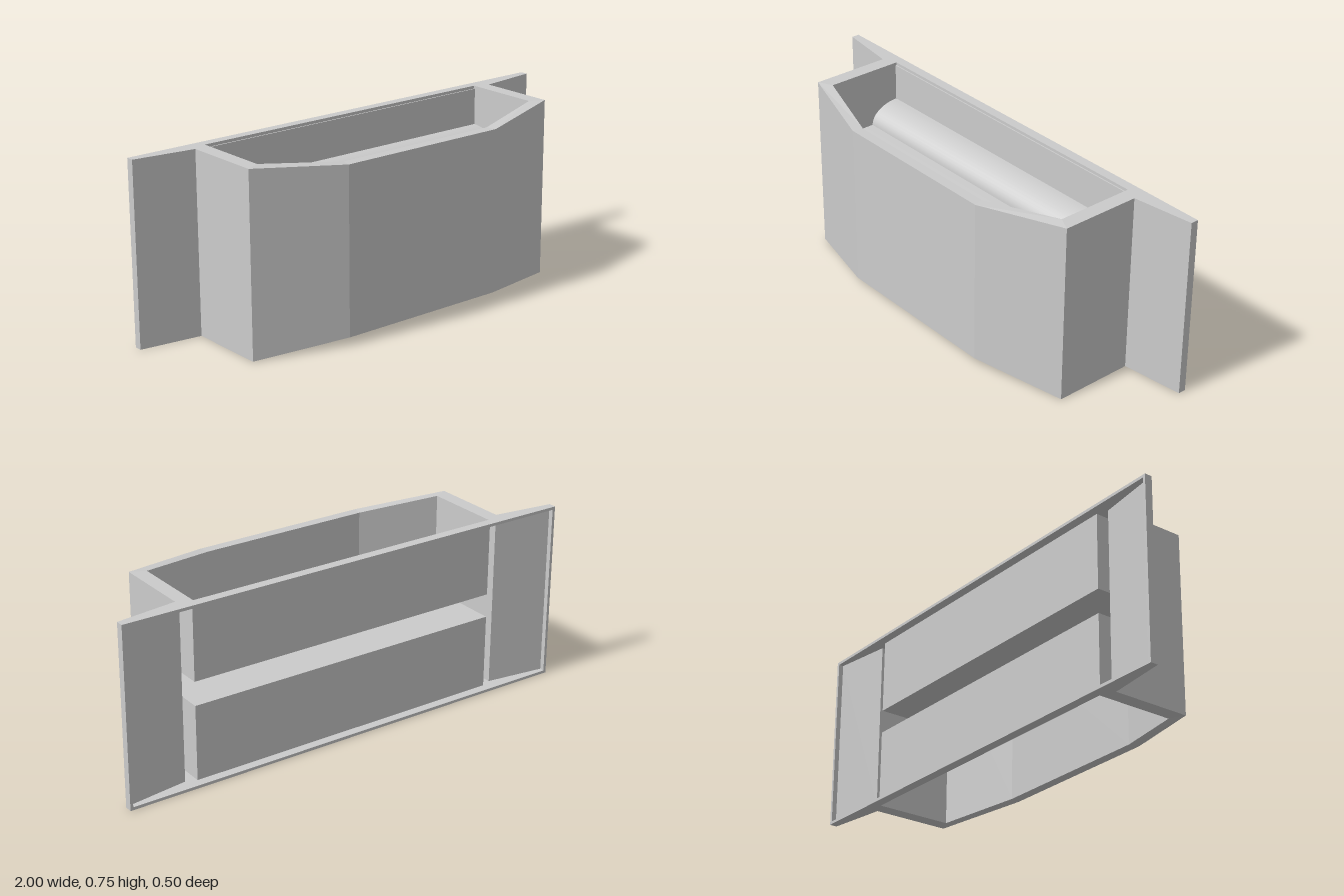
import * as THREE from 'three';
import { toCreasedNormals } from 'three/addons/utils/BufferGeometryUtils.js';

const H = 0.745, RIM = 0.012, INNER = 0.685;
const material = new THREE.MeshStandardMaterial({ color: 0xcccccc });

// Complete a right-hand outline [x, z] with its mirrored half
const flipX = pts => pts.map(([x, z]) => [-x, z]);
const mirror = half => [...half, ...flipX(half).reverse()];

// Extrude a plan outline upward from y0 to y1
function planGeometry(outline, y0, y1) {
  const shape = new THREE.Shape(outline.map(([x, z]) => new THREE.Vector2(x, -z)));
  const geo = new THREE.ExtrudeGeometry(shape, { depth: y1 - y0, bevelEnabled: false });
  return geo.rotateX(-Math.PI / 2).translate(0, y0, 0);
}

// Lower the middle facet of the nose, keeping its rim level across the wall
function taperNose(geo) {
  const p = geo.attributes.position;
  for (let i = 0; i < p.count; i++) {
    if (Math.abs(p.getX(i)) < 0.5) p.setY(i, H / 2 + (p.getY(i) - H / 2) * 0.915);
  }
  geo.computeVertexNormals();
  return geo;
}

// Cross-section: thin back plate, two rounded steps, channel underside
function stepProfile(flip) {
  const pts = [[0.115, H / 2], [0.09, H / 2], [0.09, 0.422], [-0.215, 0.422],
    [-0.215, H - RIM], [-0.207, H - RIM]];
  const arc = (z0, z1, top, bottom) => {
    for (let i = 0; i <= 12; i++) {
      const a = (i / 12) * Math.PI / 2;
      pts.push([z0 + (z1 - z0) * Math.sin(a), bottom + (top - bottom) * Math.cos(a)]);
    }
  };
  arc(-0.207, -0.08, 0.58, 0.4975);
  arc(-0.01, 0.115, 0.4975, 0.4);
  return pts.map(([z, y]) => new THREE.Vector2(z, flip ? H - y : y));
}

export function createModel() {
  const group = new THREE.Group();
  const add = (name, geo) => {
    const mesh = new THREE.Mesh(geo, material);
    mesh.name = name;
    group.add(mesh);
  };

  // Faceted nose wall at the front
  const nose = mirror([[0.37, 0.252], [0.745, 0.145], [INNER, 0.115], [0.36, 0.21]]);
  add('noseWall', taperNose(planGeometry(nose, 0, H)));

  // Thin rims closing the sides, flanges and back at top and bottom
  const rim = mirror([[INNER, -0.212], [INNER, 0.115], [0.745, 0.145],
    [0.745, -0.187], [1, -0.22], [1, -0.252]]);
  add('bottomRim', planGeometry(rim, 0, RIM));
  add('topRim', planGeometry(rim, H - RIM, H));

  // Thin side walls with tapered flanges, open at the back
  const side = [[0.745, 0.145], [0.745, -0.187], [1, -0.22], [1, -0.252], [0.988, -0.252],
    [0.988, -0.232], [0.735, -0.198], [0.735, 0.1], [INNER, 0.1], [INNER, 0.115]];
  add('leftSideWall', planGeometry(side, RIM, H - RIM));
  add('rightSideWall', planGeometry(flipX(side), RIM, H - RIM));

  // Level web joining the steps to the nose
  add('noseWeb', planGeometry(mirror([[0.37, 0.217], [0.69, 0.12], [0.69, 0.1]]), 0.36, 0.385));

  // Mirrored stepped blocks with an open channel between them
  for (const flip of [false, true]) {
    const level = flip ? 'lower' : 'upper';
    const geo = new THREE.ExtrudeGeometry(new THREE.Shape(stepProfile(flip)),
      { depth: 2 * INNER, bevelEnabled: false });
    geo.rotateY(-Math.PI / 2).translate(INNER, 0, 0);
    add(level + 'SteppedBlock', toCreasedNormals(geo, 0.5));

    // End panels closing each block towards the side cavities
    const [y0, y1] = flip ? [RIM, 0.323] : [0.422, H - RIM];
    for (const s of [-1, 1]) {
      const panel = new THREE.BoxGeometry(0.006, y1 - y0, 0.325);
      add(level + 'EndPanel', panel.translate(s * (INNER + 0.003), (y0 + y1) / 2, -0.0525));
    }
  }
  return group;
}
